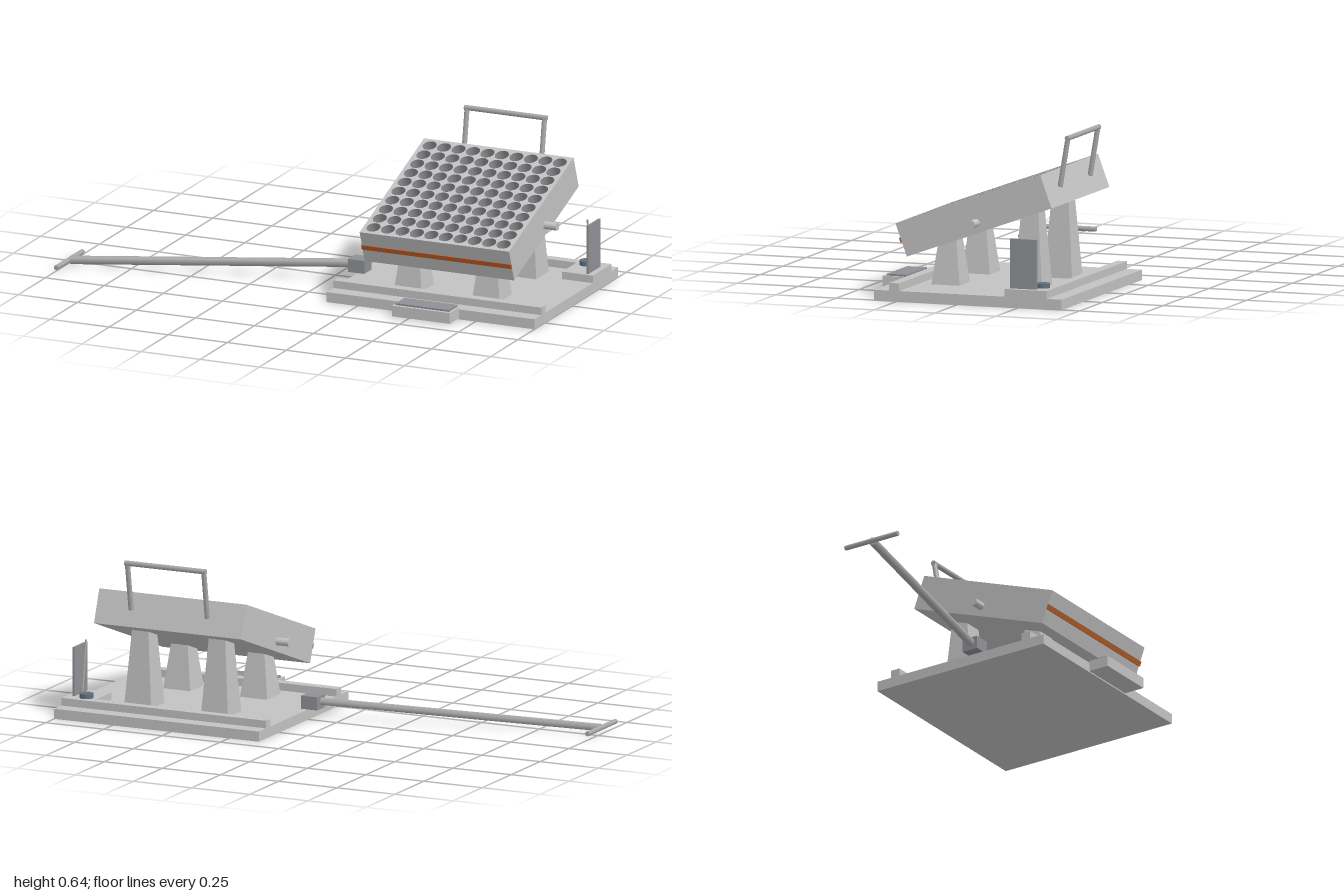
import * as THREE from 'three';
import { mergeGeometries } from 'three/addons/utils/BufferGeometryUtils.js';

const material = (name, color, side = THREE.FrontSide) => {
  const m = new THREE.MeshStandardMaterial({ color, side });
  m.name = name;
  return m;
};

export function createModel() {
  const model = new THREE.Group();
  model.name = 'tiltingTrayStand';

  const body = material('lightGrey', 0xc2c2c2);
  const steel = material('steelGrey', 0x8e9095, THREE.DoubleSide);
  const rod = material('rodGrey', 0xa9a9a9);
  const slate = material('slateBlue', 0x5f7080);
  const orange = material('copperOrange', 0xb8622f);

  const add = (parent, name, geometry, mat) => {
    const mesh = new THREE.Mesh(geometry, mat);
    mesh.name = name;
    parent.add(mesh);
    return mesh;
  };
  // box given by its limits on each axis
  const block = (parent, name, [x0, x1], [y0, y1], [z0, z1], mat) => {
    const mesh = add(parent, name, new THREE.BoxGeometry(x1 - x0, y1 - y0, z1 - z0), mat);
    mesh.position.set((x0 + x1) / 2, (y0 + y1) / 2, (z0 + z1) / 2);
    return mesh;
  };
  // round bar between two points
  const bar = (parent, name, a, b, radius, sides, mat) => {
    const from = new THREE.Vector3(...a), to = new THREE.Vector3(...b);
    const dir = to.clone().sub(from);
    const geometry = new THREE.CylinderGeometry(radius, radius, dir.length(), sides);
    const mesh = add(parent, name, geometry, mat);
    mesh.position.copy(from).add(to).multiplyScalar(0.5);
    mesh.quaternion.setFromUnitVectors(new THREE.Vector3(0, 1, 0), dir.normalize());
    return mesh;
  };

  // base plate with rails and corner block
  block(model, 'basePlate', [0.12, 1], [0, 0.04], [-0.427, 0.345], body);
  block(model, 'frontRail', [0.12, 1], [0.04, 0.07], [0.242, 0.283], body);
  block(model, 'backRail', [0.12, 0.87], [0.04, 0.07], [-0.365, -0.325], body);
  block(model, 'cornerBlock', [0.87, 1], [0.04, 0.07], [-0.365, -0.192], body);

  // front step with its plate
  block(model, 'frontStep', [0.435, 0.68], [0.005, 0.048], [0.345, 0.43], body);
  block(model, 'stepPlate', [0.445, 0.67], [0.047, 0.055], [0.335, 0.416], steel);

  // four tapered legs
  for (const x of [0.393, 0.723]) {
    for (const [z, top] of [[0.133, 0.22], [-0.205, 0.345]]) {
      const height = top - 0.04;
      const geometry = new THREE.CylinderGeometry(0.035 * Math.SQRT2, 0.058 * Math.SQRT2, height, 4)
        .rotateY(Math.PI / 4).toNonIndexed();
      geometry.computeVertexNormals();
      const leg = add(model, z > 0 ? 'frontLeg' : 'backLeg', geometry, body);
      leg.position.set(x, 0.04 + height / 2, z);
    }
  }

  // tilted tray
  const tray = new THREE.Group();
  tray.name = 'tray';
  tray.position.set(0.557, 0.3285, -0.017);
  tray.rotation.x = THREE.MathUtils.degToRad(20);
  model.add(tray);
  const half = 0.3165, thick = 0.068, depth = 0.06, pitch = 0.0612, radius = 0.028;
  const outline = new THREE.Shape([[-1, -1], [1, -1], [1, 1], [-1, 1]]
    .map(([x, y]) => new THREE.Vector2(x * half, y * half)));
  const liners = [], floors = [];
  for (let i = 0; i < 10; i++) {
    for (let j = 0; j < 10; j++) {
      const x = (i - 4.5) * pitch, z = (j - 4.5) * pitch;
      outline.holes.push(new THREE.Path().absarc(x, -z, radius, 0, Math.PI * 2, true));
      liners.push(new THREE.CylinderGeometry(radius * 0.975, radius * 0.975, depth, 20, 1, true)
        .translate(x, thick - depth / 2, z));
      floors.push(new THREE.CircleGeometry(radius * 0.97, 20).rotateX(-Math.PI / 2)
        .translate(x, thick - depth + 0.002, z));
    }
  }
  const plate = new THREE.ExtrudeGeometry(outline, { depth, bevelEnabled: false, curveSegments: 10 });
  plate.rotateX(-Math.PI / 2).translate(0, thick - depth, 0);
  add(tray, 'trayTop', plate, body);
  add(tray, 'wellWalls', mergeGeometries(liners), steel);
  add(tray, 'wellFloors', mergeGeometries(floors), slate);
  block(tray, 'trayBottom', [-half, half], [-thick, thick - depth], [-half, half], body);
  block(tray, 'frontStripe', [-half, half], [-0.01, 0.01], [half - 0.002, half + 0.006], orange);

  // pivot axle, showing on both sides
  bar(model, 'axle', [0.187, 0.302, -0.027], [0.927, 0.302, -0.027], 0.0155, 20, body);

  // carrying handle on the back of the tray
  for (const x of [0.396, 0.724]) {
    bar(model, 'handleLeg', [x, 0.437, -0.317], [x, 0.627, -0.349], 0.0105, 8, rod);
  }
  bar(model, 'handleGrip', [0.386, 0.627, -0.349], [0.734, 0.627, -0.349], 0.0105, 8, rod);

  // upright panel with leaning rod, and knob
  block(model, 'uprightPanel', [0.968, 0.976], [0.07, 0.263], [-0.315, -0.205], steel);
  bar(model, 'leaningRod', [0.958, 0.07, -0.268], [0.958, 0.278, -0.235], 0.004, 8, rod);
  const knob = add(model, 'knob', new THREE.CylinderGeometry(0.027, 0.027, 0.018, 24), slate);
  knob.position.set(0.915, 0.079, -0.318);

  // side lever with clamp and cross grip
  block(model, 'leverClamp', [0.08, 0.15], [0.04, 0.092], [-0.004, 0.063], steel);
  bar(model, 'leverRod', [0.1, 0.07, 0.03], [-0.985, 0.02, 0.3], 0.0165, 6, rod);
  bar(model, 'leverGrip', [-0.99, 0.02, 0.178], [-0.99, 0.02, 0.422], 0.01, 8, rod);

  return model;
}
